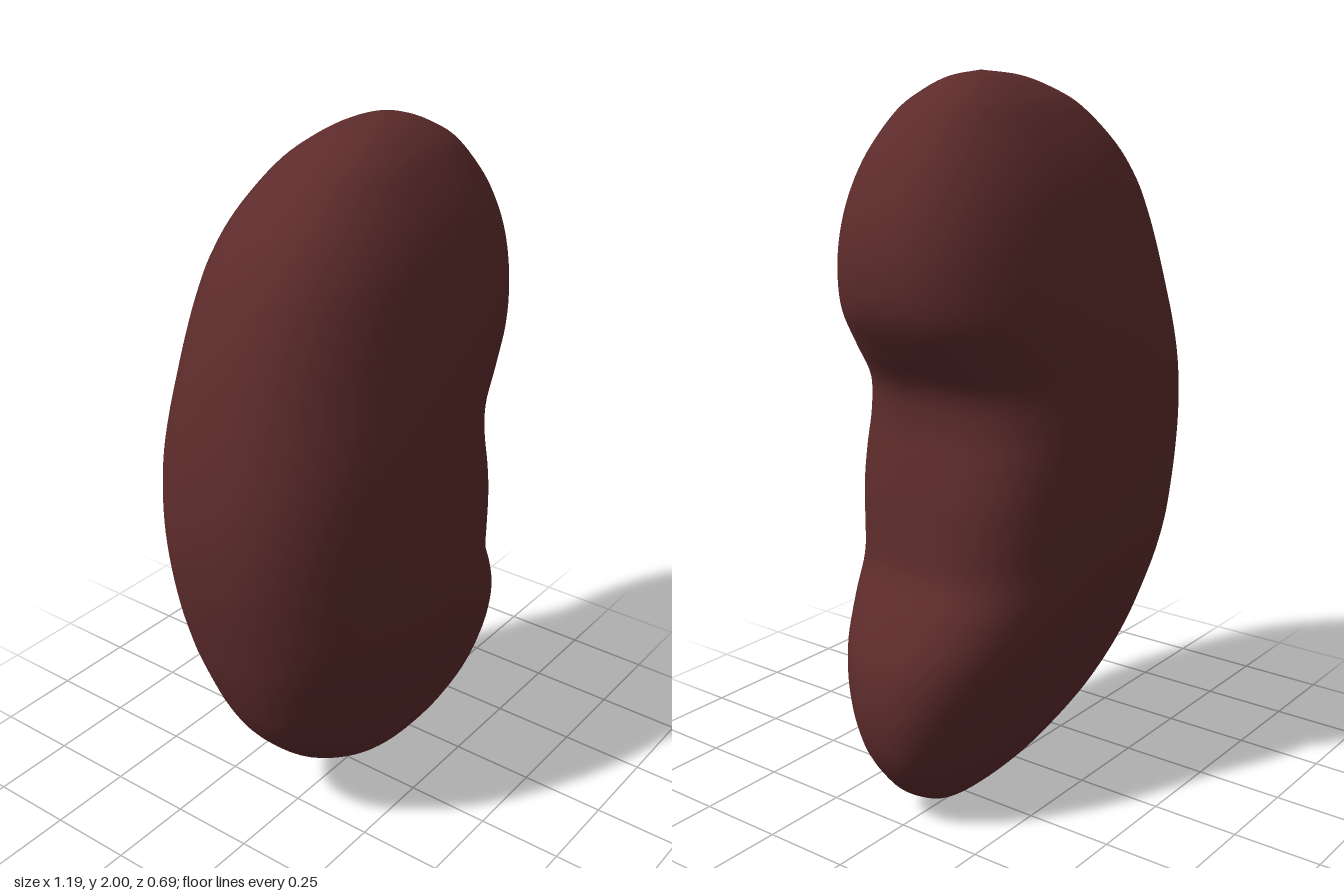
import * as THREE from 'three';

// Horizontal sections from bottom to top: height, outer edge x, notched edge x, half depth
const SECTIONS = [
  [0, 0.24, 0.24, 0], [0.012, 0.1, 0.34, 0.042], [0.05, -0.01, 0.42, 0.085], [0.1, -0.125, 0.485, 0.124],
  [0.2, -0.28, 0.555, 0.184], [0.3, -0.382, 0.585, 0.23], [0.4, -0.447, 0.588, 0.268],
  [0.5, -0.49, 0.565, 0.298], [0.6, -0.525, 0.51, 0.321], [0.7, -0.55, 0.447, 0.335],
  [0.8, -0.572, 0.43, 0.34], [0.9, -0.588, 0.42, 0.343], [1.0, -0.595, 0.403, 0.345],
  [1.1, -0.593, 0.387, 0.344], [1.2, -0.583, 0.4, 0.341], [1.3, -0.565, 0.47, 0.336],
  [1.4, -0.54, 0.535, 0.327], [1.5, -0.51, 0.556, 0.315], [1.6, -0.473, 0.55, 0.299],
  [1.7, -0.425, 0.52, 0.275], [1.8, -0.35, 0.467, 0.234], [1.9, -0.23, 0.38, 0.173],
  [1.95, -0.125, 0.3, 0.124], [1.985, -0.01, 0.215, 0.068], [2, 0.12, 0.12, 0],
];

// Smooth curve through one column of the section table
function columnCurve(column) {
  const points = SECTIONS.map((s) => new THREE.Vector3(s[column], s[0], 0));
  return new THREE.CatmullRomCurve3(points, false, 'catmullrom', 0.5);
}

// The ends lean slightly towards the front
const lean = (y) => 0.013 * (y - 1) ** 2;

function bodyGeometry(rows = 120, sides = 72) {
  const [outer, inner, depth] = [1, 2, 3].map(columnCurve);
  const positions = [];
  const index = [];
  const power = (v, e) => Math.sign(v) * Math.abs(v) ** e;

  // Rounded section rings, blunter along the notch
  for (let i = 1; i < rows; i++) {
    const t = i / rows;
    const left = outer.getPoint(t);
    const right = inner.getPoint(t).x;
    const d = depth.getPoint(t).x;
    const centre = (left.x + right) / 2;
    const half = (right - left.x) / 2;
    const blunt = 2.45 + 0.6 * Math.exp(-(((left.y - 0.95) / 0.3) ** 2));
    for (let j = 0; j < sides; j++) {
      const a = (j / sides) * Math.PI * 2;
      const e = 2 / (Math.cos(a) > 0 ? blunt : 2.4);
      positions.push(
        centre + half * power(Math.cos(a), e),
        left.y,
        lean(left.y) + d * power(Math.sin(a), e),
      );
    }
  }

  // Side faces
  for (let i = 0; i < rows - 2; i++) {
    for (let j = 0; j < sides; j++) {
      const a = i * sides + j;
      const b = i * sides + ((j + 1) % sides);
      index.push(a, a + sides, b, b, a + sides, b + sides);
    }
  }

  // End points close the body
  const bottom = positions.length / 3;
  positions.push(0.24, 0, lean(0), 0.12, 2, lean(2));
  const last = (rows - 2) * sides;
  for (let j = 0; j < sides; j++) {
    const k = (j + 1) % sides;
    index.push(bottom, j, k, bottom + 1, last + k, last + j);
  }

  const geometry = new THREE.BufferGeometry();
  geometry.setAttribute('position', new THREE.Float32BufferAttribute(positions, 3));
  geometry.setIndex(index);
  geometry.computeVertexNormals();
  return geometry;
}

export function createModel() {
  const group = new THREE.Group();
  group.name = 'kidney';
  const darkRed = new THREE.MeshStandardMaterial({ color: 0x5d2b2b });
  darkRed.name = 'dark red';
  const body = new THREE.Mesh(bodyGeometry(), darkRed);
  body.name = 'kidneyBody';
  group.add(body);
  return group;
}
